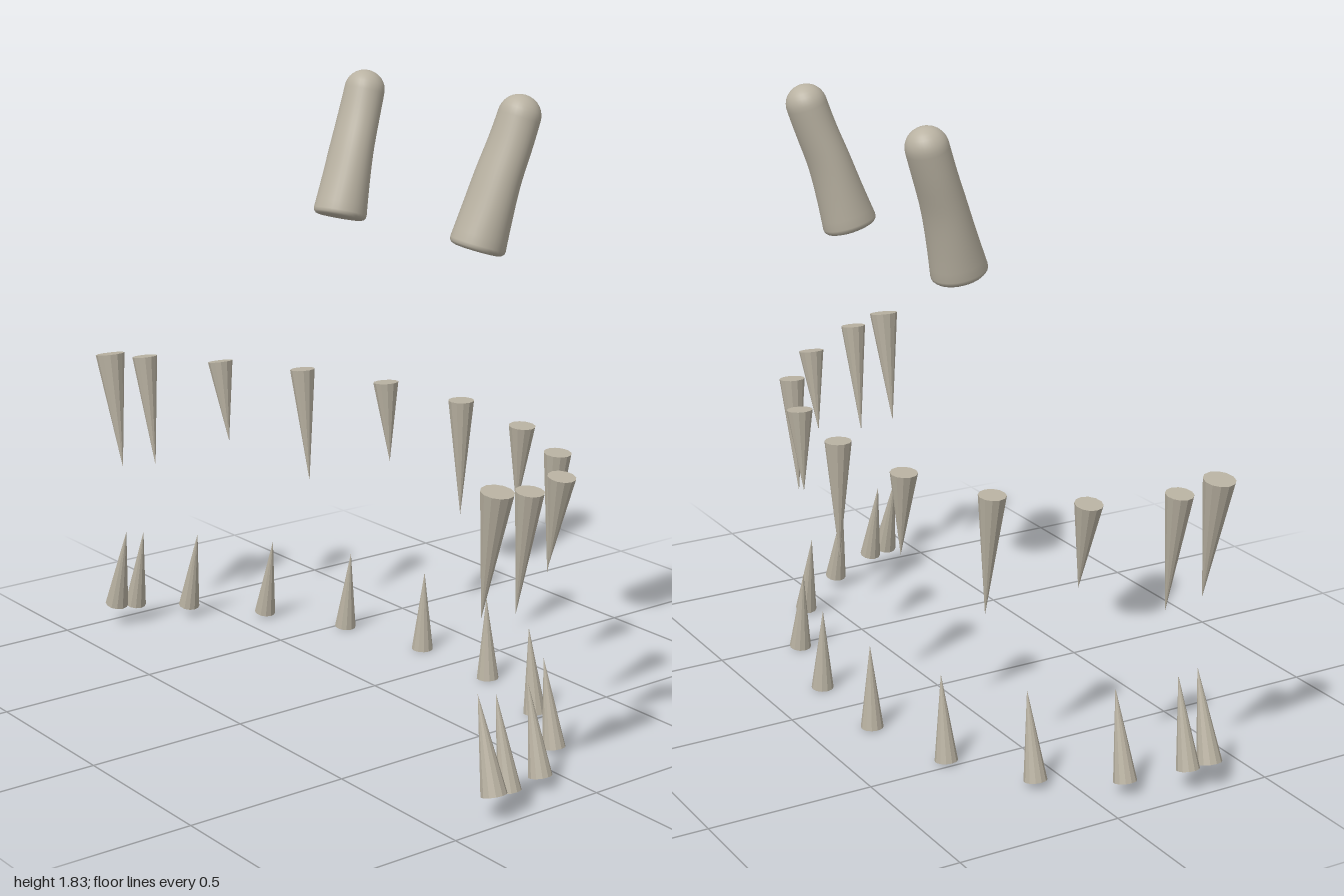
import * as THREE from 'three';
import { mergeVertices } from 'three/addons/utils/BufferGeometryUtils.js';

const bone = new THREE.MeshStandardMaterial({ color: 0xb9b2a2 });
bone.name = 'bone';
const fluted = new THREE.MeshStandardMaterial({ color: 0xb9b2a2, flatShading: true });
fluted.name = 'faceted bone';

const UP = new THREE.Vector3(0, 1, 0);

// Faceted cone from a base centre to a tip
function tooth(name, base, tip, radius) {
  const axis = tip.clone().sub(base);
  const mesh = new THREE.Mesh(new THREE.ConeGeometry(radius, axis.length(), 12), fluted);
  mesh.position.copy(base).add(tip).multiplyScalar(0.5);
  mesh.quaternion.setFromUnitVectors(UP, axis.normalize());
  mesh.name = name;
  return mesh;
}

// Row entries: x, base y, base z, tip y, tip z, radius
const UPPER = [
  [0.333, 0.853, 0, 0.487, 0, 0.04],
  [0.295, 0.85, 0.328, 0.595, 0.307, 0.04],
  [0.178, 0.853, 0.616, 0.487, 0.581, 0.04],
  [0.003, 0.864, 0.829, 0.605, 0.784, 0.04],
  [-0.212, 0.89, 0.944, 0.535, 0.894, 0.04],
  [-0.334, 0.914, 0.956, 0.55, 0.896, 0.046],
];
const LOWER = [
  [0.315, 0.002, 0.162, 0.26, 0.152, 0.034],
  [0.238, 0.006, 0.47, 0.264, 0.438, 0.034],
  [0.092, 0.016, 0.72, 0.274, 0.669, 0.034],
  [-0.102, 0.036, 0.882, 0.298, 0.822, 0.034],
  [-0.27, 0.06, 0.946, 0.323, 0.885, 0.034],
  [-0.334, 0.07, 0.958, 0.335, 0.886, 0.037],
];

function row(name, entries) {
  const group = new THREE.Group();
  group.name = name;
  for (const [x, by, bz, ty, tz, r] of entries)
    for (const side of bz ? [1, -1] : [1])
      group.add(tooth(name + 'Tooth', new THREE.Vector3(x, by, side * bz),
        new THREE.Vector3(x, ty, side * tz), r));
  return group;
}

// Rounded, bent stalk: a turned profile carried along a spine
function stalk(side) {
  const spine = new THREE.CatmullRomCurve3([
    [0.113, 1.398, 0.326], [0.143, 1.5, 0.335], [0.174, 1.6, 0.344],
    [0.211, 1.7, 0.355], [0.236, 1.772, 0.361], [0.255, 1.832, 0.366],
  ].map(([x, y, z]) => new THREE.Vector3(x, y, side * z)));
  const length = spine.getLength();
  const capR = 0.065, capStart = length - capR;

  // Flat foot with a small rounded rim, tapering shaft, domed end
  const profile = [[0, 0], [0.066, 0], [0.075, 0.003], [0.081, 0.009], [0.083, 0.018]];
  for (let i = 1; i <= 14; i++) {
    const t = i / 14;
    profile.push([THREE.MathUtils.lerp(0.083, capR, t * t * 0.4 + t * 0.6),
      THREE.MathUtils.lerp(0.018, capStart, t)]);
  }
  for (let i = 1; i <= 8; i++) {
    const a = i / 8 * Math.PI / 2;
    profile.push([i === 8 ? 0 : capR * Math.cos(a), capStart + capR * Math.sin(a)]);
  }

  let geo = new THREE.LatheGeometry(profile.map(([r, s]) => new THREE.Vector2(r, s)), 32);
  const pos = geo.attributes.position;
  const v = new THREE.Vector3(), q = new THREE.Quaternion();
  for (let i = 0; i < pos.count; i++) {
    const t = THREE.MathUtils.clamp(pos.getY(i) / length, 0, 1);
    const squash = 1 - 0.17 * Math.sin(Math.PI * t);
    q.setFromUnitVectors(UP, spine.getTangentAt(t));
    v.set(pos.getX(i) * squash, 0, pos.getZ(i)).applyQuaternion(q).add(spine.getPointAt(t));
    pos.setXYZ(i, v.x, v.y, v.z);
  }
  geo.deleteAttribute('uv');
  geo.deleteAttribute('normal');
  geo = mergeVertices(geo, 1e-5);
  geo.computeVertexNormals();
  const mesh = new THREE.Mesh(geo, bone);
  mesh.name = side > 0 ? 'frontStalk' : 'backStalk';
  return mesh;
}

export function createModel() {
  const model = new THREE.Group();
  model.name = 'teethAndStalks';
  model.add(row('upper', UPPER), row('lower', LOWER), stalk(1), stalk(-1));
  return model;
}
